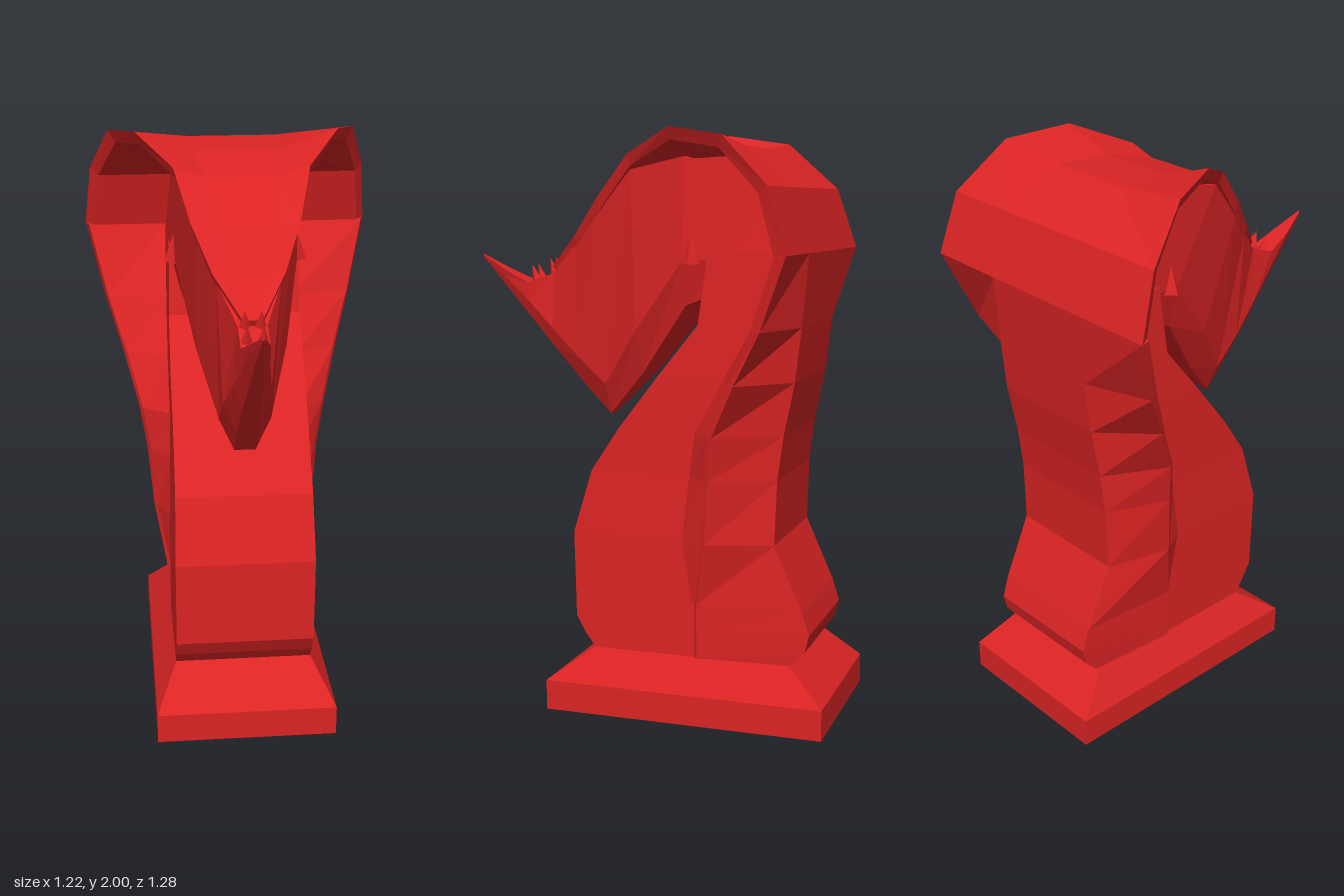
import * as THREE from 'three';

// Mirrors half an outline [x, y, z] (x > 0) into a closed ring.
const ring = (half) => [...half, ...half.slice().reverse().map(([x, y, z]) => [-x, y, z])];

// Skins a list of equal rings, caps both ends and keeps hard facets.
function loft(rings) {
  const tris = [];
  const n = rings[0].length;
  const V = (p) => new THREE.Vector3(...p);
  for (let i = 0; i < rings.length - 1; i++) {
    for (let j = 0; j < n; j++) {
      const k = (j + 1) % n;
      const a = V(rings[i][j]), b = V(rings[i][k]);
      const c = V(rings[i + 1][k]), d = V(rings[i + 1][j]);
      tris.push([a, b, c], [a, c, d]);
    }
  }
  [rings[0], rings[rings.length - 1]].forEach((r, end) => {
    const mid = new THREE.Vector3();
    r.forEach((p) => mid.addScaledVector(V(p), 1 / n));
    for (let j = 0; j < n; j++) {
      const a = V(r[j]), b = V(r[(j + 1) % n]);
      tris.push(end ? [mid, a, b] : [mid, b, a]);
    }
  });
  // Turn the faces outward when the enclosed volume comes out negative.
  const cross = new THREE.Vector3();
  let volume = 0;
  tris.forEach(([a, b, c]) => { volume += a.dot(cross.crossVectors(b, c)); });
  const points = [];
  tris.forEach(([a, b, c]) => {
    if (new THREE.Triangle(a, b, c).getArea() < 1e-7) return;
    points.push(...(volume < 0 ? [a, c, b] : [a, b, c]));
  });
  const g = new THREE.BufferGeometry().setFromPoints(points);
  g.computeVertexNormals();
  return g;
}

export function createModel() {
  const red = new THREE.MeshStandardMaterial({ color: 0xdc2424 });
  red.name = 'red';
  const group = new THREE.Group();
  const piece = new THREE.Group();
  piece.name = 'cobraPiece';
  piece.rotation.y = 0.728;
  piece.position.set(0.02, 0, -0.018);
  group.add(piece);

  const add = (name, geometry) => {
    const mesh = new THREE.Mesh(geometry, red);
    mesh.name = name;
    piece.add(mesh);
    return mesh;
  };

  // Plinth: y, half width, front, back
  add('plinth', loft([
    [0, 0.308, 0.525, -0.465],
    [0.105, 0.308, 0.525, -0.465],
    [0.22, 0.235, 0.367, -0.337],
  ].map(([y, h, f, b]) => ring([[h, y, f], [h, y, b]]))));

  // Neck with side fins: y, half width, front, fin root, fin half width, fin front, fin back, back
  add('neckAndFins', loft([
    [0.22, 0.235, 0.367, 0.01, 0.235, 0, -0.01, -0.337],
    [0.27, 0.235, 0.405, 0.01, 0.235, 0, -0.01, -0.385],
    [0.33, 0.235, 0.437, 0.01, 0.235, 0, -0.01, -0.4],
    [0.41, 0.235, 0.438, 0.01, 0.235, 0, -0.01, -0.375],
    [0.63, 0.235, 0.442, 0.045, 0.275, -0.035, -0.05, -0.277],
    [0.85, 0.23, 0.375, 0.02, 0.295, -0.05, -0.07, -0.285],
    [1.0, 0.228, 0.275, 0, 0.32, -0.07, -0.09, -0.305],
    [1.18, 0.228, 0.135, -0.1, 0.37, -0.16, -0.18, -0.342],
    [1.36, 0.225, -0.01, -0.2, 0.43, -0.25, -0.285, -0.363],
    [1.6, 0.22, -0.045, -0.325, 0.49, -0.345, -0.384, -0.384],
  ].map(([y, h, f, root, fin, ff, fb, b]) => ring([
    [h, y, f], [h, y, root], [fin, y, ff], [fin + 0.012, y, fb], [h - 0.01, y, b],
  ]))));

  // Hood shell, from the back edge over the top to the brow:
  // z, half width, rim y, middle half width, middle y, inner z
  add('hood', loft([
    [-0.384, 0.503, 1.6, 0.21, 1.6, -0.337, 0],
    [-0.318, 0.48, 1.81, 0.2, 1.81, -0.28, 0.02],
    [-0.151, 0.415, 1.97, 0.145, 1.945, -0.135, 0.04],
    [0.054, 0.33, 2.0, 0.14, 1.935, 0.054, 0.04],
    [0.24, 0.215, 1.92, 0.12, 1.89, 0.235, 0.04],
    [0.37, 0.17, 1.775, 0.09, 1.765, 0.36, 0.035],
    [0.48, 0.112, 1.645, 0.06, 1.64, 0.47, 0.03],
    [0.6, 0.03, 1.535, 0.015, 1.535, 0.59, 0.02],
  ].map(([z, h, y, w, m, iz, t]) => ring([
    [w, m, z], [h, y, z], [h * 0.94, y - t, iz], [w, m - t, iz],
  ]))));

  // Head and jaw: z, then half width and y for the top, the cheek and the keel
  add('head', loft([
    [-0.33, 0.21, 1.65, 0.22, 1.58, 0.2, 1.5],
    [-0.27, 0.2, 1.8, 0.22, 1.58, 0.2, 1.5],
    [-0.12, 0.2, 1.92, 0.22, 1.58, 0.2, 1.48],
    [0.05, 0.2, 1.91, 0.205, 1.57, 0.17, 1.42],
    [0.24, 0.185, 1.87, 0.15, 1.33, 0.09, 1.17],
    [0.38, 0.15, 1.735, 0.085, 1.13, 0.035, 1.02],
    [0.48, 0.1, 1.62, 0.08, 1.22, 0.035, 1.125],
    [0.59, 0.045, 1.515, 0.06, 1.32, 0.03, 1.245],
    [0.69, 0.045, 1.48, 0.042, 1.415, 0.02, 1.355],
    [0.79, 0.03, 1.525, 0.024, 1.5, 0.012, 1.465],
    [0.884, 0.003, 1.577, 0.003, 1.573, 0.002, 1.568],
  ].map(([z, h, y, ch, cy, kh, ky]) => ring([[h, y, z], [ch, cy, z], [kh, ky, z]]))));

  // Teeth along the jaw
  [[0.6, 1.535, 0.07], [0.67, 1.51, 0.075]].forEach(([z, y, h]) => {
    for (const s of [-1, 1]) {
      const tooth = add('tooth', new THREE.ConeGeometry(0.022, h, 4).toNonIndexed());
      tooth.geometry.computeVertexNormals();
      tooth.position.set(s * 0.025, y, z);
      tooth.rotation.x = 0.3;
    }
  });

  // Small spurs behind the cheeks
  for (const s of [-1, 1]) {
    const spur = add('cheekSpur', new THREE.ConeGeometry(0.035, 0.1, 4).toNonIndexed());
    spur.geometry.computeVertexNormals();
    spur.position.set(s * 0.205, 1.61, 0.02);
  }

  return group;
}
